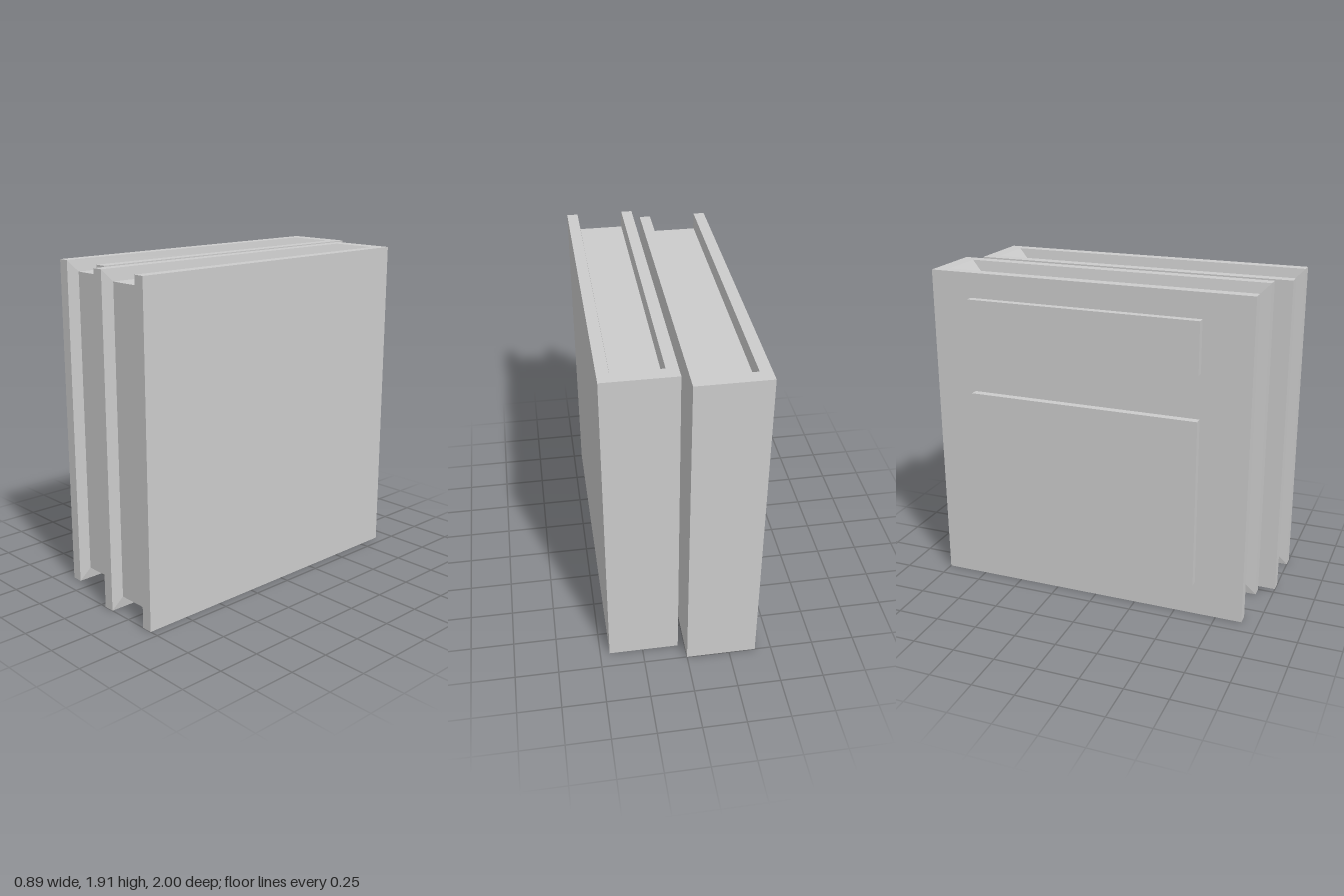
import * as THREE from 'three';

const H = 1.91, LEN = 1.905, HALF_W = 0.2025; // overall book size
const RIM = 0.138, PAGE = 0.128;              // half widths of the recess: at the edge, at the pages
const INSET = 0.068, SPINE = 0.08;            // depth of the recess, thickness of the spine

function material() {
  return new THREE.MeshStandardMaterial({ color: 0xcccccc, flatShading: true });
}

function box(name, x0, x1, y0, y1, z0, z1) {
  const mesh = new THREE.Mesh(new THREE.BoxGeometry(x1 - x0, y1 - y0, z1 - z0), material());
  mesh.position.set((x0 + x1) / 2, (y0 + y1) / 2, (z0 + z1) / 2);
  mesh.name = name;
  return mesh;
}

// Hard cover: rows of cross-sections run from the spine under the book, up the front and back over the top
function coverGeometry() {
  const zr = SPINE, zp = SPINE + 0.06;
  const flat = (y, z, inner) =>
    [-HALF_W, -RIM, -inner, inner, RIM, HALF_W].map(x => [x, y, z]);
  const recessed = (y, z, py, pz) =>
    [[-HALF_W, y, z], [-RIM, y, z], [-PAGE, py, pz], [PAGE, py, pz], [RIM, y, z], [HALF_W, y, z]];
  const rows = [
    flat(0, 0, PAGE),
    flat(0, zr, RIM),
    recessed(0, zr, INSET, zp),
    recessed(0, LEN, INSET, LEN - INSET),
    recessed(H, LEN, H - INSET, LEN - INSET),
    recessed(H, zr, H - INSET, zp),
    flat(H, zr, RIM),
    flat(H, 0, PAGE),
  ];
  const pos = [];
  const tri = (a, b, c) => {
    const area = new THREE.Triangle(...[a, b, c].map(p => new THREE.Vector3(...p))).getArea();
    if (area > 1e-8) pos.push(...a, ...b, ...c);
  };
  const quad = (a, b, c, d) => { tri(a, b, c); tri(a, c, d); };
  rows.forEach((row, r) => {
    const next = rows[(r + 1) % rows.length];
    for (let c = 0; c < 5; c++) {
      if (c === 2 && r >= 2 && r <= 4) continue; // filled by the page block
      quad(row[c], row[c + 1], next[c + 1], next[c]);
    }
  });
  // Outer faces of the two boards
  const side = x => [[x, 0, 0], [x, 0, LEN], [x, H, LEN], [x, H, 0]];
  quad(...side(-HALF_W));
  quad(...side(HALF_W).reverse());
  const geo = new THREE.BufferGeometry();
  geo.setAttribute('position', new THREE.Float32BufferAttribute(pos, 3));
  geo.computeVertexNormals();
  return geo;
}

function book(name, x, zBack) {
  const group = new THREE.Group();
  group.name = name;
  const cover = new THREE.Mesh(coverGeometry(), material());
  cover.name = 'cover';
  group.add(cover);
  group.add(box('pages', -PAGE, PAGE, INSET, H - INSET, SPINE + 0.06, LEN - INSET));
  group.position.set(x, 0, zBack);
  return group;
}

export function createModel() {
  const model = new THREE.Group();
  model.name = 'books';
  model.add(book('rightBook', -0.2025, -1));
  model.add(book('leftBook', 0.2425, -0.905));
  // Raised panels on the outer board
  model.add(box('titlePanel', -0.45, -0.404, 1.465, 1.765, -0.755, 0.62));
  model.add(box('picturePanel', -0.45, -0.404, 0.205, 1.205, -0.755, 0.62));
  return model;
}
